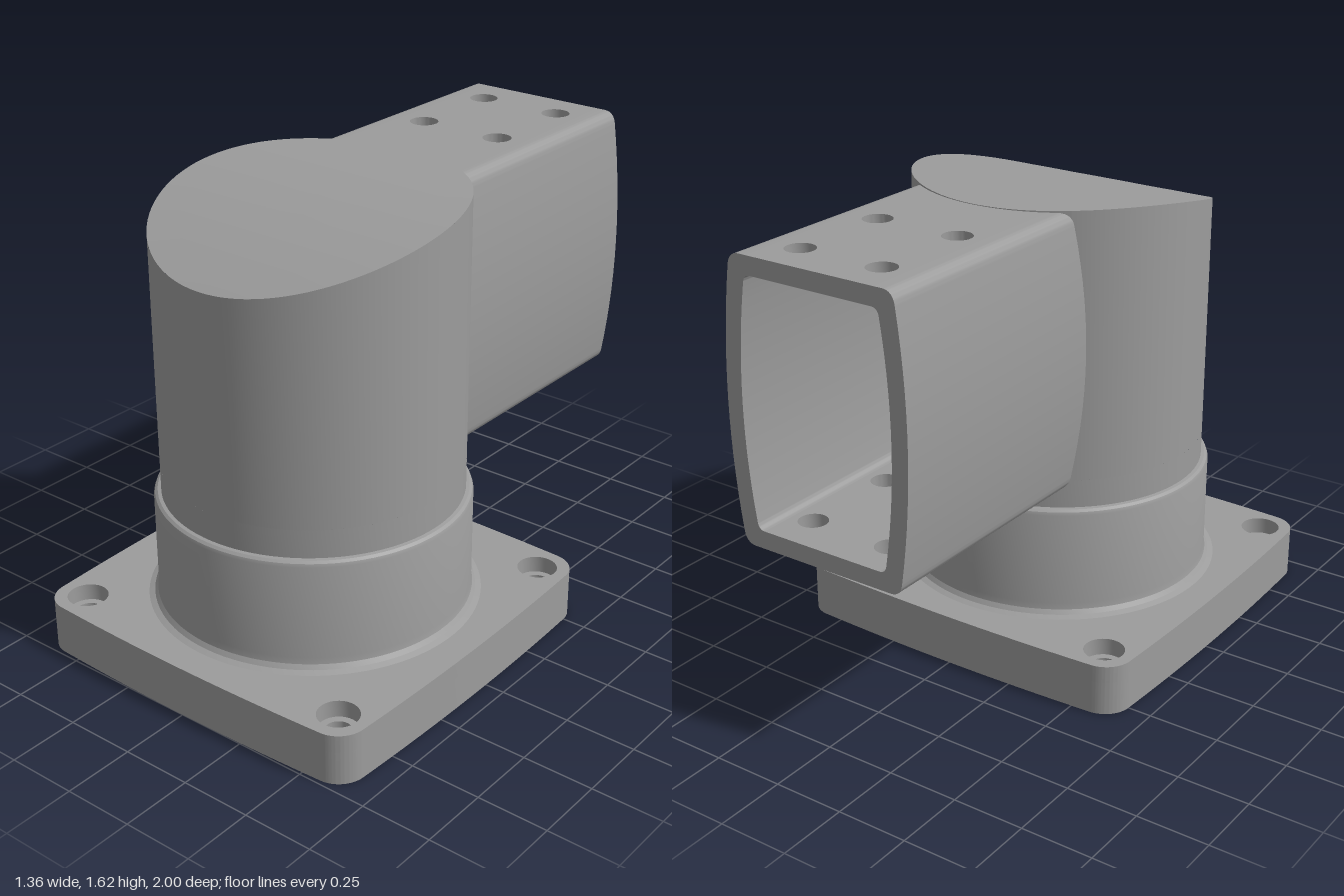
import * as THREE from 'three';
import { toCreasedNormals } from 'three/addons/utils/BufferGeometryUtils.js';

const C = 0.32;            // z of the column axis and base centre
const R = 0.515, BORE = 0.46; // column outer and inner radius
const OPEN = 0.64;         // half angle of the opening into the arm

const grey = new THREE.MeshStandardMaterial({ color: 0x9c9c9c });
grey.name = 'castGrey';

export function createModel() {
  const model = new THREE.Group();
  model.name = 'elbowCoupling';

  const add = (name, geometry, z = 0, y = 0) => {
    const mesh = new THREE.Mesh(toCreasedNormals(geometry, 0.45), grey);
    mesh.name = name;
    mesh.position.set(0, y, z);
    model.add(mesh);
  };
  const lathe = (pts, start = 0, length = Math.PI * 2) => new THREE.LatheGeometry(
    pts.map(([r, y]) => new THREE.Vector2(r, y)), Math.ceil(length * 16), start, length);
  const circle = (x, y, r) => new THREE.Path().absarc(x, y, r, 0, Math.PI * 2, true);
  // Horizontal slab: shape y becomes z, the top lies at y = top
  const slab = (shape, bottom, top) => new THREE.ExtrudeGeometry(shape,
    { depth: top - bottom, bevelEnabled: false, curveSegments: 20 }).rotateX(Math.PI / 2).translate(0, top, 0);

  // ---- Base flange: bulged outline, corner bosses, counterbored holes
  const corners = [[1, -1], [1, 1], [-1, 1], [-1, -1]];
  const outline = () => {
    const h = 0.665, r = 0.1, bulge = 0.03, s = new THREE.Shape();
    s.moveTo(-h + r, -h);
    for (let i = 0; i < 4; i++) {
      const a = i * Math.PI / 2, c = Math.cos(a), n = Math.sin(a);
      const p = (x, y) => [x * c - y * n, x * n + y * c];
      s.quadraticCurveTo(...p(0, -h - bulge), ...p(h - r, -h));
      s.absarc(...p(h - r, -h + r), r, a - Math.PI / 2, a, false);
    }
    return s;
  };
  const hole = 0.555;
  const top = outline();
  top.holes.push(circle(0, 0, 0.46), ...corners.map(([x, y]) => circle(x * hole, y * hole, 0.07)));
  add('flangePlate', slab(top, 0.12, 0.18), C);

  const rim = outline(), pocket = new THREE.Path();
  const bossAngle = Math.acos(0.055 / 0.12);
  for (let i = 0; i < 4; i++) {
    const [x, y] = corners[i], a = i * Math.PI / 2;
    // Each boss arc bulges inward from one pocket wall to the next
    pocket.absarc(x * hole, y * hole, 0.12, a - Math.PI / 2 + bossAngle + Math.PI * 2 - 2 * bossAngle,
      a + bossAngle, true);
  }
  pocket.closePath();
  rim.holes.push(pocket, ...corners.map(([x, y]) => circle(x * hole, y * hole, 0.045)));
  add('flangeRim', slab(rim, 0, 0.12), C);

  // ---- Collar with bottom spigot, fillet and inner ledge
  add('collar', lathe([
    [BORE, 0.68], [BORE, 0.31], [0.39, 0.31], [0.39, 0.26], [0.43, 0.26], [0.43, 0], [0.48, 0],
    [0.48, 0.15], [0.575, 0.18], [0.555, 0.188], [0.544, 0.203], [0.54, 0.225],
    [0.54, 0.56], [0.536, 0.571], [0.527, 0.578], [R, 0.58], [R, 0.68],
  ]), C);

  // ---- Column, cut along a gently arched top
  const topY = (z) => 1.62 - (z + C + 0.05) ** 2 / 4.2;
  const arched = (geometry, drop = 0, from = 1.6) => {
    const p = geometry.attributes.position;
    for (let i = 0; i < p.count; i++) if (p.getY(i) > from) p.setY(i, topY(p.getZ(i)) - drop);
    return geometry;
  };
  const rest = [Math.PI + OPEN, 2 * (Math.PI - OPEN)];
  add('columnWall', arched(lathe([[R, 0.68], [R, 2]], ...rest)), C);
  add('columnBore', arched(lathe([[BORE, 2], [BORE, 0.68]], ...rest), 0.06), C);
  add('columnLintel', arched(lathe([[R, 1.57], [R, 2]], Math.PI - OPEN, 2 * OPEN)), C);
  const rings = [1, 0.8, 0.6, 0.4, 0.2, 0];
  add('columnTop', arched(lathe(rings.map((k) => [R * k, 2]))), C);
  add('columnCeiling', arched(lathe(rings.map((k) => [BORE * k, 2]).reverse()), 0.06), C);

  // ---- Arm: hollow rectangular tube with bulged sides, trimmed to the bore
  const yTop = 1.613, yBottom = 0.647, yMid = (yTop + yBottom) / 2, seam = 0.23, wall = 0.062;
  const trim = (x) => C - Math.sqrt(BORE ** 2 - x * x);
  for (const side of [1, -1]) {
    const s = new THREE.Shape(), h = (yTop - yBottom) / 2, g = h - wall;
    s.moveTo(side * seam, -h);
    s.lineTo(side * 0.27, -h);
    s.quadraticCurveTo(side * 0.31, -h, side * 0.316, -h + 0.045);
    s.quadraticCurveTo(side * 0.384, 0, side * 0.316, h - 0.045);
    s.quadraticCurveTo(side * 0.31, h, side * 0.27, h);
    s.lineTo(side * seam, h);
    s.lineTo(side * seam, g);
    s.quadraticCurveTo(side * 0.255, g, side * 0.258, g - 0.03);
    s.quadraticCurveTo(side * 0.322, 0, side * 0.258, -g + 0.03);
    s.quadraticCurveTo(side * 0.255, -g, side * seam, -g);
    const geometry = new THREE.ExtrudeGeometry(s, { depth: 1, bevelEnabled: false, curveSegments: 14 });
    geometry.translate(0, 0, -1);
    const p = geometry.attributes.position;
    for (let i = 0; i < p.count; i++) if (p.getZ(i) > -0.5) p.setZ(i, trim(p.getX(i)));
    add(side > 0 ? 'armLeftSide' : 'armRightSide', geometry, 0, yMid);
  }

  // Drilled top and bottom walls of the arm
  const plate = new THREE.Shape();
  plate.moveTo(-seam, -1);
  plate.lineTo(seam, -1);
  for (let i = 0; i <= 12; i++) {
    const x = seam * (1 - i / 6);
    plate.lineTo(x, trim(x));
  }
  for (const x of [-0.155, 0.155]) for (const z of [-0.855, -0.49]) plate.holes.push(circle(x, z, 0.05));
  add('armTop', slab(plate, yTop - wall, yTop));
  add('armBottom', slab(plate, yBottom, yBottom + wall));

  return model;
}
